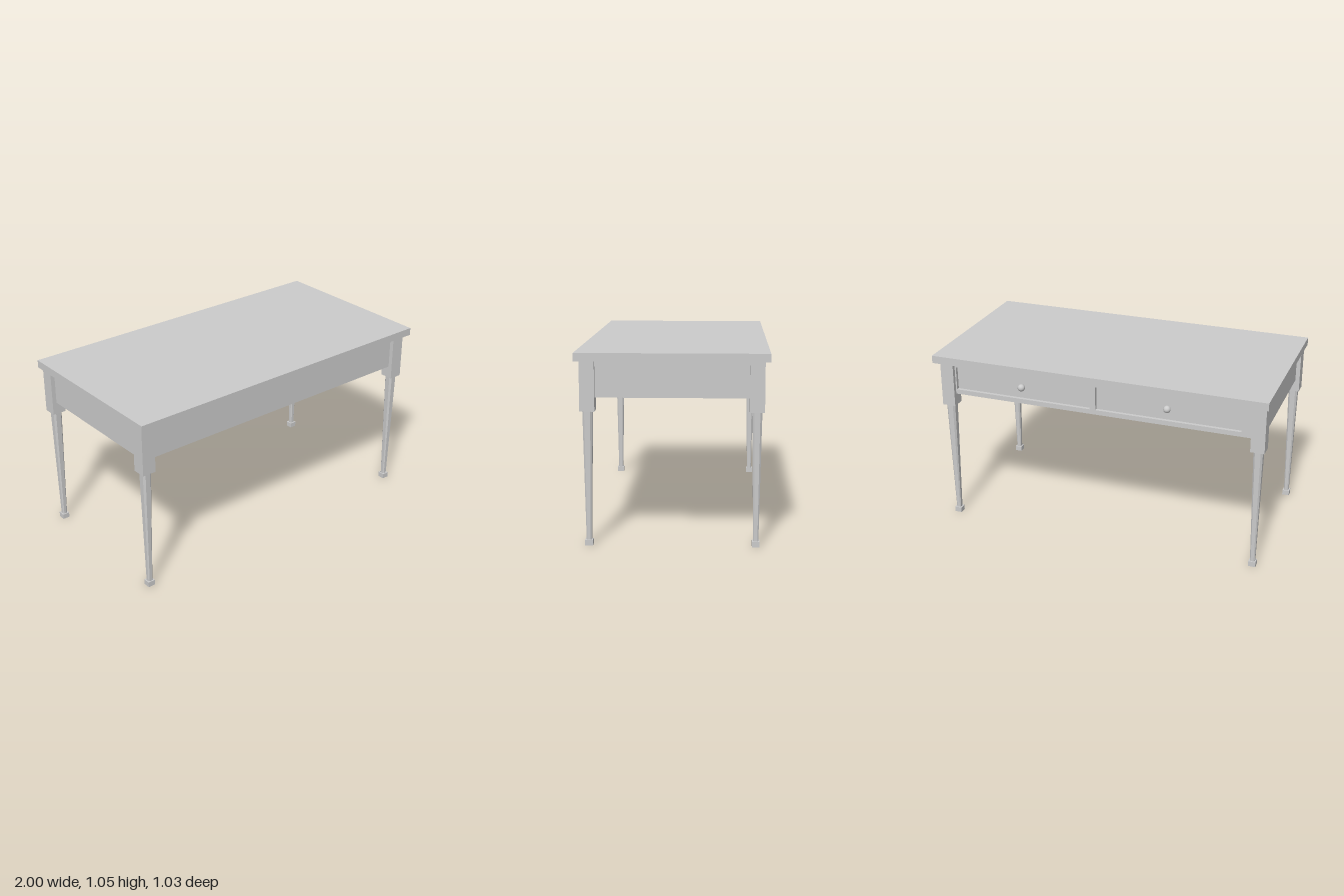
import * as THREE from 'three';

const material = new THREE.MeshStandardMaterial({ color: 0xcccccc });

function add(parent, name, geometry, x = 0, y = 0, z = 0) {
  const mesh = new THREE.Mesh(geometry, material);
  mesh.name = name;
  mesh.position.set(x, y, z);
  parent.add(mesh);
  return mesh;
}

// Box given by its lower and upper limits on each axis
function addBox(parent, name, [x0, x1], [y0, y1], [z0, z1]) {
  return add(parent, name, new THREE.BoxGeometry(x1 - x0, y1 - y0, z1 - z0),
    (x0 + x1) / 2, (y0 + y1) / 2, (z0 + z1) / 2);
}

function rectangle(PathType, x0, x1, y0, y1) {
  return new PathType([[x0, y0], [x1, y0], [x1, y1], [x0, y1]].map(p => new THREE.Vector2(...p)));
}

// Square shaft with chamfered corners, narrowing towards the floor
function taperedShaft(height, topWidth, bottomWidth) {
  const h = 0.5, c = 0.3;
  const section = new THREE.Shape([[c, -h], [h, -c], [h, c], [c, h], [-c, h], [-h, c], [-h, -c], [-c, -h]]
    .map(p => new THREE.Vector2(...p)));
  const geometry = new THREE.ExtrudeGeometry(section, { depth: height, bevelEnabled: false });
  geometry.rotateX(-Math.PI / 2);
  const pos = geometry.attributes.position;
  for (let i = 0; i < pos.count; i++) {
    const w = THREE.MathUtils.lerp(bottomWidth, topWidth, pos.getY(i) / height);
    pos.setX(i, pos.getX(i) * w);
    pos.setZ(i, pos.getZ(i) * w);
  }
  geometry.computeVertexNormals();
  return geometry;
}

export function createModel() {
  const table = new THREE.Group();
  table.name = 'table';

  addBox(table, 'tabletop', [-1, 1], [1.005, 1.05], [-0.515, 0.515]);

  // Apron body, set back slightly from the leg blocks
  const apronX = [-0.96, 0.94], apronY = [0.807, 1.005];
  const backZ = -0.465, panelZ = -0.445;
  addBox(table, 'apron', apronX, apronY, [panelZ, 0.465]);

  // Back frame with an opening for each drawer
  const drawers = [[0.025, 0.876], [-0.847, -0.005]].map(([a, b]) => [a + 0.015, b]);
  drawers[1] = [-0.847, 0.004];
  const frame = rectangle(THREE.Shape, ...apronX, ...apronY);
  drawers.forEach(d => frame.holes.push(rectangle(THREE.Path, ...d, 0.835, 0.975)));
  add(table, 'drawerFrame',
    new THREE.ExtrudeGeometry(frame, { depth: panelZ - backZ, bevelEnabled: false }), 0, 0, backZ);

  // Round drawer knobs
  drawers.forEach(([a, b]) => {
    add(table, 'drawerKnob', new THREE.SphereGeometry(0.021, 24, 16), (a + b) / 2, 0.908, -0.469);
  });

  // Four legs: square block, tapered shaft and small foot
  for (const x of [-0.945, 0.924]) {
    for (const z of [-0.448, 0.45]) {
      const leg = new THREE.Group();
      leg.name = 'leg';
      leg.position.set(x, 0, z);
      add(leg, 'legBlock', new THREE.BoxGeometry(0.08, 0.27, 0.08), 0, 0.87, 0);
      add(leg, 'legShaft', taperedShaft(0.705, 0.054, 0.028), 0, 0.03, 0);
      add(leg, 'foot', new THREE.BoxGeometry(0.042, 0.031, 0.042), 0, 0.0155, 0);
      table.add(leg);
    }
  }
  return table;
}
